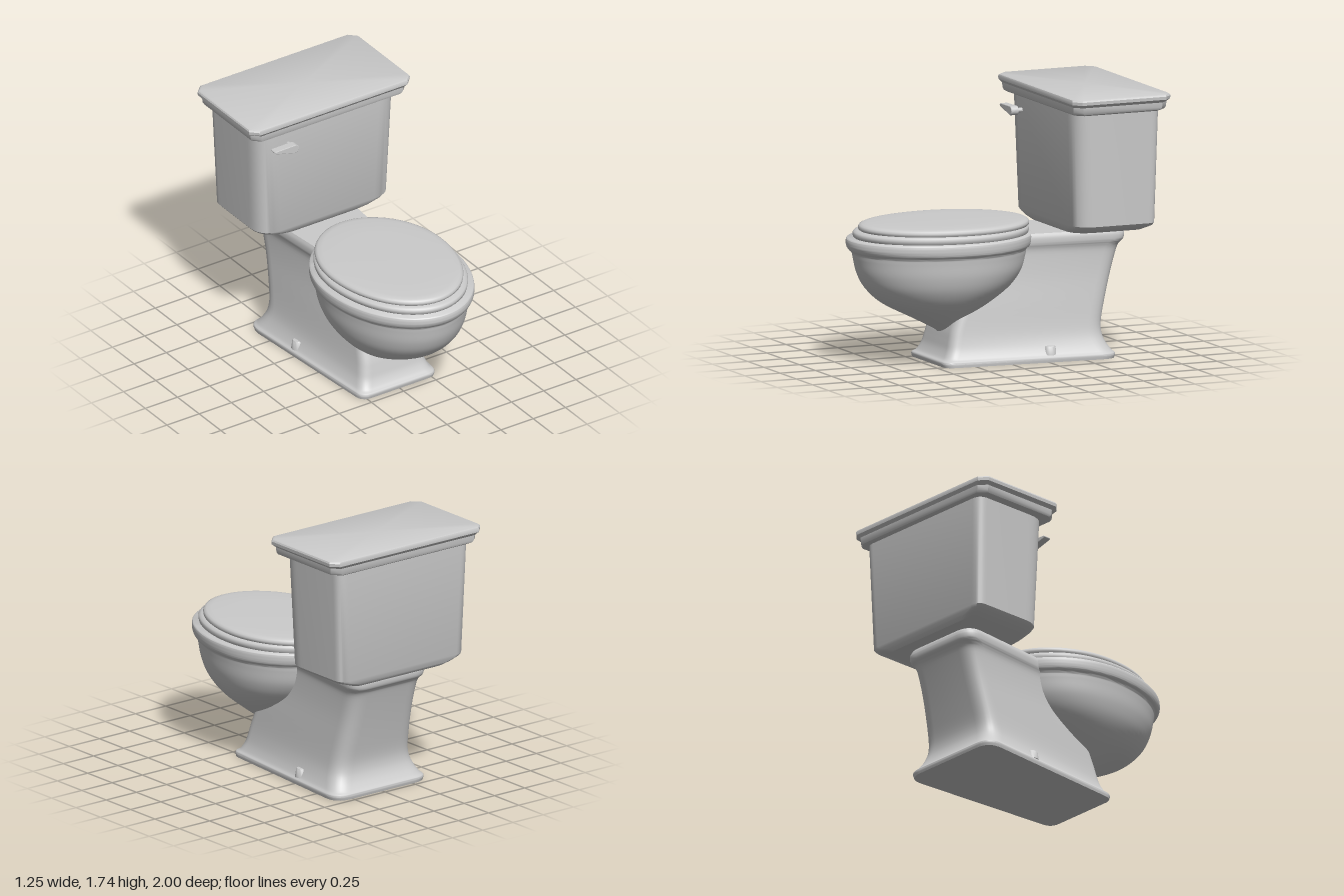
import * as THREE from 'three';
import { toCreasedNormals } from 'three/addons/utils/BufferGeometryUtils.js';

const material = new THREE.MeshStandardMaterial({ color: 0xcccccc });

function addMesh(parent, name, geometry) {
  const mesh = new THREE.Mesh(geometry, material);
  mesh.name = name;
  parent.add(mesh);
  return mesh;
}

// Skin a stack of closed rings, bottom to top, with both ends capped
function loft(rings, crease = 0.6) {
  const n = rings[0].length;
  const pos = [];
  const index = [];
  rings.forEach((ring) => ring.forEach((p) => pos.push(p.x, p.y, p.z)));
  for (let i = 0; i < rings.length - 1; i++) {
    for (let j = 0; j < n; j++) {
      const a = i * n + j, b = i * n + (j + 1) % n;
      index.push(a, a + n, b + n, a, b + n, b);
    }
  }
  [0, rings.length - 1].forEach((i) => {
    const mid = new THREE.Vector3();
    rings[i].forEach((p) => mid.addScaledVector(p, 1 / n));
    const c = pos.length / 3;
    pos.push(mid.x, mid.y, mid.z);
    for (let j = 0; j < n; j++) {
      const a = i * n + j, b = i * n + (j + 1) % n;
      if (i === 0) index.push(c, a, b);
      else index.push(c, b, a);
    }
  });
  const geometry = new THREE.BufferGeometry();
  geometry.setAttribute('position', new THREE.Float32BufferAttribute(pos, 3));
  geometry.setIndex(index);
  return toCreasedNormals(geometry, crease);
}

// Resample a table of section values along a smooth spline
function smoothRows(rows, count) {
  const curves = rows[0].map((_, c) =>
    new THREE.SplineCurve(rows.map((r) => new THREE.Vector2(0, r[c]))));
  return Array.from({ length: count + 1 }, (_, i) =>
    curves.map((curve) => curve.getPoint(i / count).y));
}

// Egg-shaped ring: half width and front and back ends
function eggRing([y, w, zf, zb]) {
  const zc = zb + (zf - zb) * 0.46;
  return Array.from({ length: 72 }, (_, j) => {
    const a = (j / 72) * Math.PI * 2;
    const s = Math.sin(a);
    return new THREE.Vector3(w * Math.cos(a), y, zc + s * (s > 0 ? zf - zc : zc - zb));
  });
}

// Trapezoid ring with rounded corners: front and back half widths and depths
function boxRing([y, wf, zf, wb, zb], rf, rb, seg) {
  const corners = [[wf, zf], [-wf, zf], [-wb, zb], [wb, zb]]
    .map(([x, z]) => new THREE.Vector3(x, y, z));
  return corners.flatMap((c, i) => {
    const r = i < 2 ? rf : rb;
    const toward = (p) => p.clone().sub(c).setLength(r).add(c);
    return new THREE.QuadraticBezierCurve3(
      toward(corners[(i + 3) % 4]), c, toward(corners[(i + 1) % 4])).getPoints(seg);
  });
}

export function createModel() {
  const model = new THREE.Group();
  model.name = 'toilet';

  // Pedestal with flared foot and rear deck
  const pedestalRows = [
    [0.00, 0.290, 0.455, 0.385, -0.725],
    [0.03, 0.290, 0.460, 0.390, -0.730],
    [0.05, 0.272, 0.435, 0.372, -0.712],
    [0.10, 0.252, 0.408, 0.345, -0.682],
    [0.16, 0.240, 0.392, 0.322, -0.665],
    [0.24, 0.230, 0.370, 0.308, -0.668],
    [0.38, 0.220, 0.310, 0.295, -0.700],
    [0.54, 0.210, 0.200, 0.285, -0.742],
    [0.68, 0.210, 0.100, 0.285, -0.782],
    [0.73, 0.215, 0.060, 0.295, -0.800],
    [0.76, 0.225, 0.050, 0.310, -0.825],
    [0.80, 0.225, 0.050, 0.312, -0.830],
    [0.828, 0.215, 0.050, 0.302, -0.820],
  ];
  addMesh(model, 'pedestal',
    loft(smoothRows(pedestalRows, 48).map((r) => boxRing(r, 0.07, 0.12, 8)), 0.7));

  // Bowl with thick rolled rim
  const bowlRows = [
    [0.180, 0.004, 0.345, 0.335],
    [0.190, 0.045, 0.375, 0.290],
    [0.220, 0.100, 0.415, 0.260],
    [0.300, 0.210, 0.570, 0.180],
    [0.400, 0.325, 0.765, 0.030],
    [0.500, 0.400, 0.875, -0.100],
    [0.600, 0.438, 0.930, -0.175],
    [0.700, 0.453, 0.955, -0.205],
    [0.735, 0.460, 0.963, -0.212],
    [0.755, 0.480, 0.985, -0.232],
    [0.785, 0.487, 1.000, -0.242],
    [0.820, 0.486, 0.998, -0.242],
    [0.830, 0.476, 0.988, -0.235],
  ];
  addMesh(model, 'bowl', loft(smoothRows(bowlRows, 60).map(eggRing), 0.7));

  // Seat ring and closed lid, each with a rounded edge
  addMesh(model, 'seat', loft([
    [0.825, 0.435, 0.940, -0.215], [0.838, 0.447, 0.953, -0.222],
    [0.858, 0.450, 0.957, -0.224], [0.870, 0.445, 0.950, -0.221],
    [0.878, 0.430, 0.932, -0.212],
  ].map(eggRing), 0.8));
  addMesh(model, 'seatLid', loft([
    [0.872, 0.415, 0.905, -0.215], [0.884, 0.428, 0.917, -0.226],
    [0.898, 0.430, 0.919, -0.228], [0.910, 0.424, 0.912, -0.222],
    [0.917, 0.410, 0.895, -0.208], [0.921, 0.380, 0.860, -0.175],
    [0.925, 0.250, 0.680, -0.010],
  ].map(eggRing), 0.8));

  // Tank, tapering downward with a sloped underside
  const tankRows = [
    [0.830, 0.380, -0.410, 0.380, -0.905],
    [0.850, 0.430, -0.390, 0.430, -0.925],
    [0.872, 0.495, -0.382, 0.495, -0.930],
    [0.890, 0.510, -0.374, 0.510, -0.936],
    [1.640, 0.540, -0.355, 0.540, -0.950],
  ];
  addMesh(model, 'tank', loft(tankRows.map((r) => boxRing(r, 0.15, 0.07, 10))));

  // Tank lid with stepped moulding and clipped corners
  const lidRows = [
    [1.630, 0.565, 0.305], [1.640, 0.588, 0.322], [1.655, 0.597, 0.328],
    [1.688, 0.600, 0.330], [1.698, 0.610, 0.338], [1.708, 0.622, 0.346],
    [1.728, 0.624, 0.347], [1.738, 0.619, 0.343], [1.744, 0.608, 0.333],
  ];
  addMesh(model, 'tankLid', loft(lidRows.map(([y, w, d]) =>
    boxRing([y, w, -0.653 + d, w, -0.653 - d], 0.05, 0.05, 1)), 0.55));

  // Flush handle: shaft and teardrop lever
  const handle = new THREE.Group();
  handle.name = 'flushHandle';
  handle.position.set(-0.32, 1.54, -0.32);
  model.add(handle);
  const shaft = addMesh(handle, 'handleShaft', new THREE.CylinderGeometry(0.015, 0.015, 0.08, 20));
  shaft.rotation.x = Math.PI / 2;
  shaft.position.z = -0.02;
  const lever = new THREE.Shape();
  lever.moveTo(0, -0.03);
  lever.absarc(0, 0, 0.03, -Math.PI / 2, Math.PI / 2, false);
  lever.lineTo(-0.145, 0.028);
  lever.quadraticCurveTo(-0.168, 0.02, -0.145, 0.008);
  lever.lineTo(0, -0.03);
  addMesh(handle, 'handleLever', new THREE.ExtrudeGeometry(lever, {
    depth: 0.045, bevelEnabled: true, bevelSize: 0.004, bevelThickness: 0.004,
    bevelOffset: -0.004, bevelSegments: 2, curveSegments: 16,
  }));

  // Floor bolt caps on both sides of the foot
  const capProfile = [[0, 0], [0.046, 0], [0.039, 0.05], [0.033, 0.058], [0, 0.06]]
    .map(([x, y]) => new THREE.Vector2(x, y));
  for (const [name, side] of [['leftBoltCap', 1], ['rightBoltCap', -1]]) {
    addMesh(model, name, toCreasedNormals(new THREE.LatheGeometry(capProfile, 24), 0.7))
      .position.set(side * 0.3, 0.045, -0.27);
  }

  return model;
}
